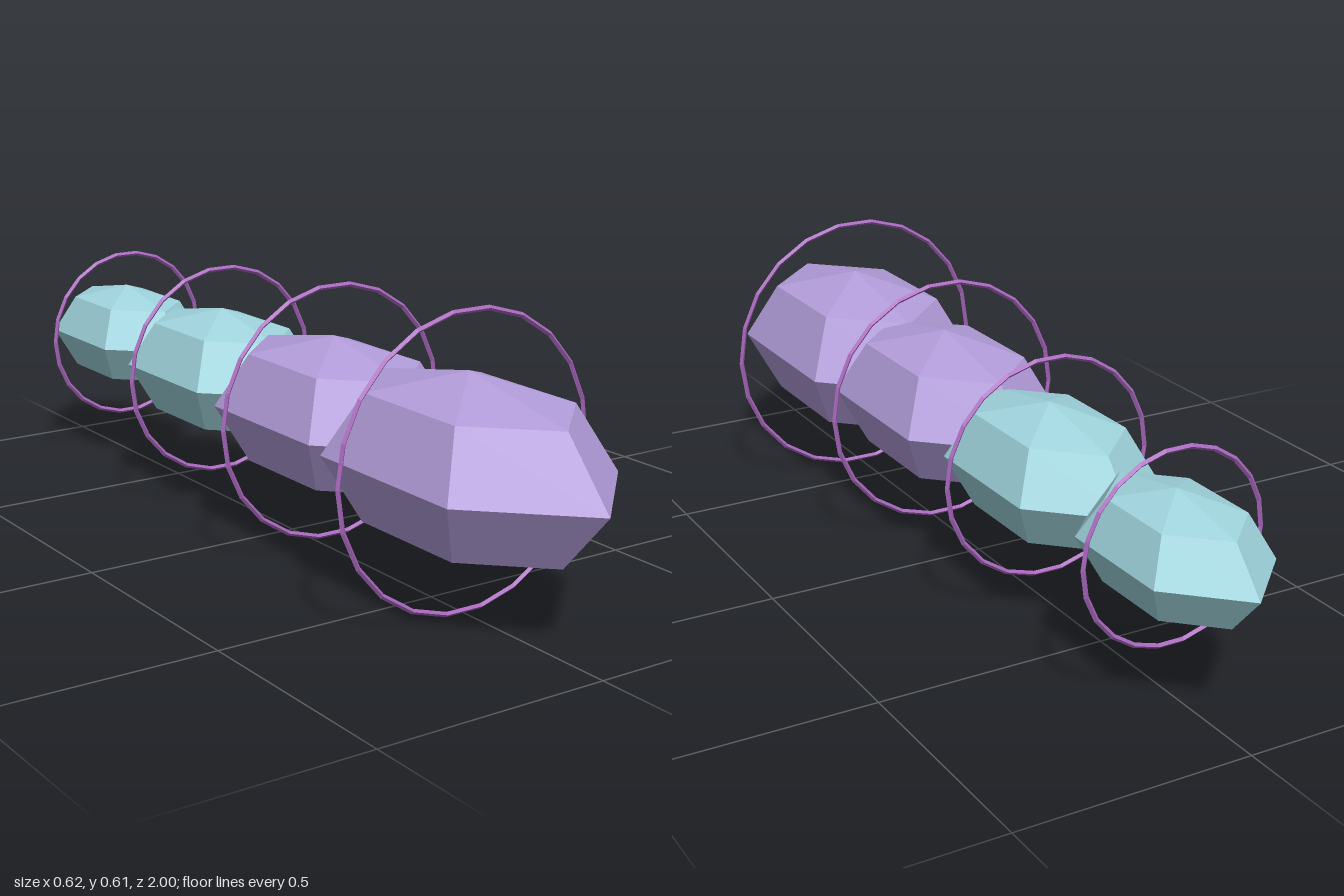
import * as THREE from 'three';

export function createModel() {
  const model = new THREE.Group();
  model.name = 'segmentedCrystalBody';

  const material = (name, color) => {
    const m = new THREE.MeshStandardMaterial({ color, flatShading: true });
    m.name = name;
    return m;
  };
  const lavender = material('lavender', 0xb39ddb);
  const paleTeal = material('paleTeal', 0xa0d5de);
  const violet = material('violet', 0xa766bc);

  const centreY = 0.306;
  // Segments from front to back: position along z, relative size, colour
  const segments = [
    { z: 0.603, size: 1.0, mat: lavender },
    { z: 0.156, size: 0.9, mat: lavender },
    { z: -0.291, size: 0.78, mat: paleTeal },
    { z: -0.738, size: 0.66, mat: paleTeal },
  ];

  segments.forEach(({ z, size, mat }, i) => {
    const segment = new THREE.Group();
    segment.name = `segment${i + 1}`;
    segment.position.set(0, centreY, z);

    // Stretched six-sided gem with a point facing front and back
    const gem = new THREE.SphereGeometry(1, 6, 4);
    gem.rotateY(Math.PI / 2);
    gem.scale(0.237 * size, 0.184 * size, 0.397 * size);
    const body = new THREE.Mesh(gem, mat);
    body.name = 'segmentBody';

    // Thin ring floating around the segment
    const ring = new THREE.Mesh(new THREE.TorusGeometry(0.303 * size, 0.0055, 4, 22), violet);
    ring.name = 'segmentRing';

    segment.add(body, ring);
    model.add(segment);
  });

  return model;
}
